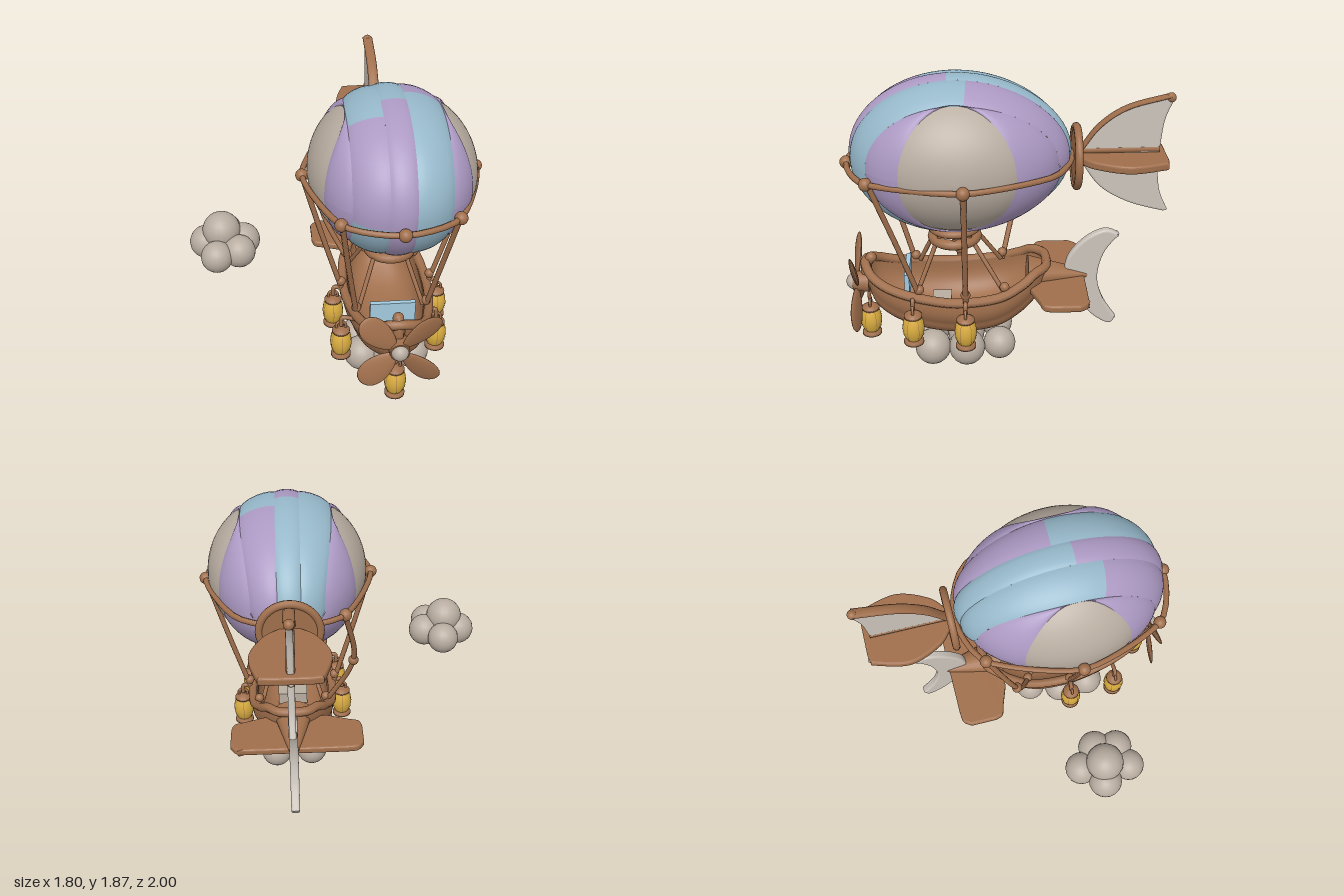
import * as THREE from 'three';

const mat = (name, color, side = THREE.FrontSide) => {
  const m = new THREE.MeshStandardMaterial({ color, side });
  m.name = name;
  return m;
};
const V = (x, y, z) => new THREE.Vector3(x, y, z);

export function createModel() {
  const wood = mat('wood brown', 0xa06f4c, THREE.DoubleSide);
  const purple = mat('canvas purple', 0xac99c3);
  const blue = mat('canvas blue', 0x96b8ca);
  const glass = mat('windshield blue', 0xa3cadf);
  const beige = mat('cloud beige', 0xb9ada1);
  const sail = mat('sail pale grey', 0xcbc4bb);
  const yellow = mat('lamp yellow', 0xdaad40);

  const model = new THREE.Group();
  const ship = new THREE.Group();
  ship.name = 'airship';
  ship.position.x = 0.333;
  ship.rotation.y = -0.036;
  model.add(ship);

  const add = (name, geo, m, pos = [0, 0, 0], parent = ship) => {
    const mesh = new THREE.Mesh(geo, m);
    mesh.name = name;
    mesh.position.set(...pos);
    parent.add(mesh);
    return mesh;
  };
  const ball = (name, r, m, pos, parent) => add(name, new THREE.SphereGeometry(r, 20, 14), m, pos, parent);
  const tube = (name, pts, r, closed = false, tension = 0.5) =>
    add(name, new THREE.TubeGeometry(new THREE.CatmullRomCurve3(pts, closed, 'catmullrom', tension), pts.length * 6, r, 8, closed), wood);
  // plate from smooth edges; side plates use [z, y] points, flat plates use [x, z]
  const plate = (name, edges, depth, m, flat = false, pos = [0, 0, 0]) => {
    const s = new THREE.Shape();
    const pts = edges.map(e => e.map(([a, b]) => new THREE.Vector2(flat ? a : -a, b)));
    s.moveTo(pts[0][0].x, pts[0][0].y);
    pts.forEach((e, i) => {
      if (i) s.lineTo(e[0].x, e[0].y);
      s.splineThru(e.slice(1));
    });
    const b = 0.014;
    const g = new THREE.ExtrudeGeometry(s, { depth: depth - 2 * b, bevelThickness: b, bevelSize: b, bevelOffset: -b, bevelSegments: 3, curveSegments: 20 });
    g.translate(0, 0, b - depth / 2);
    if (flat) g.rotateX(Math.PI / 2); else g.rotateY(Math.PI / 2);
    return add(name, g, m, pos);
  };

  // Balloon: panels between seams, measured from the +x pole, phi runs front, top, back, bottom
  const belly = (u) => () => Math.acos(u);
  const patchEdge = (phi) => Math.asin(1 / Math.hypot(Math.cos(phi) / 0.51, Math.sin(phi) / 0.83));
  const stripeEdge = (phi) => {
    const rear = Math.max(0, -Math.cos(phi)), low = Math.max(0, -Math.sin(phi));
    return Math.acos(0.57 - 0.1 * rear * rear - 0.5 * rear * low);
  };
  const seams = [() => 0, patchEdge, stripeEdge, belly(0.13), belly(-0.17),
    p => Math.PI - stripeEdge(p), p => Math.PI - patchEdge(p), () => Math.PI];
  const panel = (name, k, p0, p1, m) => {
    const n = 10, rows = Math.round((p1 - p0) / 0.09), pos = [], idx = [];
    for (let i = 0; i <= n; i++) for (let j = 0; j <= rows; j++) {
      const phi = p0 + (p1 - p0) * j / rows, s = i / n;
      const t = seams[k](phi) * (1 - s) + seams[k + 1](phi) * s;
      const swell = k === 0 ? Math.cos(s * Math.PI / 2) : Math.sin(s * Math.PI / (k === 6 ? 2 : 1));
      const puff = 0.985 + 0.02 * Math.max(0, swell) ** 0.6;
      const c = Math.sin(t) * Math.cos(phi), taper = c < 0 ? 1 - 0.08 * c * c : 1;
      pos.push(0.008 + Math.cos(t) * 0.505 * puff * taper, 1.4 + Math.sin(t) * Math.sin(phi) * 0.472 * puff * taper,
        0.295 + c * (c > 0 ? 0.625 : 0.685) * puff);
      if (i < n && j < rows) {
        const a = i * (rows + 1) + j, b = a + rows + 1;
        idx.push(a, a + 1, b, a + 1, b + 1, b);
      }
    }
    const g = new THREE.BufferGeometry();
    g.setAttribute('position', new THREE.Float32BufferAttribute(pos, 3));
    g.setIndex(idx);
    g.computeVertexNormals();
    add(name, g, m);
  };
  const P = Math.PI;
  [[0, beige], [1, purple], [5, purple], [6, beige]].forEach(([k, m]) => panel('balloonSidePanel', k, 0, 2 * P, m));
  // middle stripes change colour at the belt and at the crown
  [[1.67, blue, purple, blue], [1.5, purple, blue, purple], [1.24, purple, blue, blue]].forEach(([crown, front, rear, low], i) => {
    panel('balloonStripe', 2 + i, -0.13, crown, front);
    panel('balloonStripe', 2 + i, crown, P + 0.07, rear);
    panel('balloonStripe', 2 + i, P + 0.07, 2 * P - 0.13, low);
  });

  // Rope belt and knots
  const knots = [[0, 1.335, 0.945], [0.335, 1.34, 0.8], [0.53, 1.365, 0.25], [0.325, 1.365, -0.26],
    [0, 1.365, -0.4], [-0.335, 1.365, -0.275], [-0.53, 1.365, 0.285], [-0.34, 1.34, 0.82]];
  tube('beltRope', knots.map(k => V(...k)), 0.018, true, 0.36);
  knots.forEach((k, i) => i !== 3 && i !== 4 && ball('beltKnot', 0.039, wood, k));

  // Hull: U-shaped sections along the keel, with outer planks and an inner shell
  const stations = [[0.865, 0.05, 0.655, 0.52], [0.81, 0.14, 0.61, 0.38], [0.7, 0.195, 0.56, 0.29], [0.53, 0.24, 0.525, 0.225],
    [0.3, 0.27, 0.505, 0.195], [0.05, 0.26, 0.53, 0.23], [-0.1, 0.21, 0.59, 0.315], [-0.18, 0.16, 0.64, 0.39], [-0.25, 0.08, 0.65, 0.46]];
  const rim = new THREE.CatmullRomCurve3(stations.map(([z, w, y]) => V(w, y, z)));
  const keel = new THREE.CatmullRomCurve3(stations.map(([z, , , y]) => V(0, y, z)));
  const shell = (name, wide, deep, ridge) => {
    const nu = 40, nv = 48, pos = [], idx = [];
    for (let i = 0; i <= nu; i++) for (let j = 0; j <= nv; j++) {
      const r = rim.getPoint(i / nu), k = keel.getPoint(i / nu), a = P * j / nv;
      const c = Math.cos(a), bump = 1 + ridge * Math.abs(Math.sin(6 * a));
      pos.push(Math.sign(c) * Math.abs(c) ** 0.75 * r.x * wide * bump,
        r.y - (r.y - k.y) * deep * Math.abs(Math.sin(a)) ** 0.85, r.z);
      if (i < nu && j < nv) {
        const p = i * (nv + 1) + j, q = p + nv + 1;
        idx.push(p, p + 1, q, p + 1, q + 1, q);
      }
    }
    const g = new THREE.BufferGeometry();
    g.setAttribute('position', new THREE.Float32BufferAttribute(pos, 3));
    g.setIndex(idx);
    g.computeVertexNormals();
    add(name, g, wood);
  };
  shell('hull', 1, 1, 0.04);
  shell('hullInside', 0.88, 0.72, 0);
  tube('hullRim', [...rim.points, ...rim.points.slice().reverse().map(p => V(-p.x, p.y, p.z))], 0.03, true);
  tube('bowPost', [V(0, 0.42, 0.8), V(0, 0.55, 0.865), V(0, 0.64, 0.865), V(0, 0.685, 0.835)], 0.034);
  ball('bowPostEnd', 0.034, wood, [0, 0.685, 0.835]);
  const boom = new THREE.CylinderGeometry(0.03, 0.13, 0.38, 24).rotateX(-P / 2).scale(1, 0.72, 1);
  add('tailBoom', boom, wood, [0, 0.555, -0.33]).rotation.x = -0.06;

  // Gondola wings and crescent rudder
  plate('gondolaWings', [[[-0.3, -0.5], [0.3, -0.5], [0.38, -0.49], [0.42, -0.44]], [[0.42, -0.27], [0.4, -0.22], [0.34, -0.2]],
    [[0.2, -0.15], [-0.2, -0.15]], [[-0.34, -0.2], [-0.4, -0.22], [-0.42, -0.27]], [[-0.42, -0.44], [-0.38, -0.49], [-0.3, -0.5]]],
  0.045, wood, true, [-0.023, 0.525, 0]);
  plate('rudder', [[[-0.37, 0.55], [-0.4, 0.68], [-0.5, 0.8], [-0.62, 0.86], [-0.71, 0.83]],
    [[-0.71, 0.83], [-0.62, 0.7], [-0.585, 0.53], [-0.625, 0.37], [-0.715, 0.225]],
    [[-0.715, 0.225], [-0.67, 0.182], [-0.56, 0.25], [-0.45, 0.39], [-0.37, 0.55]]], 0.055, sail);

  // Balloon tail: round mount, vertical sails and flat fin
  add('tailDisc', new THREE.CylinderGeometry(0.18, 0.18, 0.03, 32).rotateX(P / 2), wood, [0, 1.353, -0.425]);
  add('tailRing', new THREE.TorusGeometry(0.18, 0.024, 10, 36), wood, [0, 1.353, -0.425]);
  const lead = [[-0.45, 1.4], [-0.56, 1.55], [-0.72, 1.66], [-0.97, 1.73]];
  plate('upperSail', [lead, [[-0.99, 1.715], [-0.94, 1.58], [-0.92, 1.37]], [[-0.45, 1.37], [-0.45, 1.4]]], 0.04, sail);
  plate('lowerSail', [[[-0.45, 1.33], [-0.57, 1.16], [-0.75, 1.05], [-0.97, 0.985]],
    [[-0.995, 0.995], [-0.935, 1.14], [-0.91, 1.36]], [[-0.45, 1.36], [-0.45, 1.33]]], 0.04, sail);
  tube('sailSpar', lead.map(([z, y]) => V(0, y, z)), 0.012).geometry.scale(2.8, 1, 1);
  ball('sparTip', 0.03, wood, [0, 1.717, -0.968]);
  plate('tailFin', [[[0.06, -0.43], [0.16, -0.52], [0.235, -0.72], [0.18, -0.95]], [[0.12, -0.96], [-0.12, -0.96]],
    [[-0.18, -0.95], [-0.235, -0.72], [-0.16, -0.52], [-0.06, -0.43]]], 0.05, wood, true, [0, 1.355, 0]);
  [1.395, 1.315].forEach(y => tube('finSpar', [V(0, y, -0.43), V(0, y + 0.005, -0.92)], 0.026));

  // Propeller
  const propeller = new THREE.Group();
  propeller.name = 'propeller';
  propeller.position.set(0, 0.515, 0.93);
  ship.add(propeller);
  for (let i = 0; i < 4; i++) {
    const arm = new THREE.Group();
    arm.rotation.z = P / 4 + i * P / 2;
    propeller.add(arm);
    const g = new THREE.SphereGeometry(1, 24, 16);
    const p = g.attributes.position;
    for (let v = 0; v < p.count; v++) {
      const x = p.getX(v);
      p.setXYZ(v, 0.18 + x * 0.145, p.getY(v) * 0.079 * (1 + 0.25 * x), p.getZ(v) * 0.018);
    }
    g.computeVertexNormals();
    add('blade', g, wood, [0, 0, 0], arm).rotation.x = 0.3;
  }
  add('shaft', new THREE.CylinderGeometry(0.06, 0.07, 0.1, 20).rotateX(P / 2), wood, [0, 0, -0.025], propeller);
  ball('noseCap', 0.053, beige, [0, 0, 0.017], propeller);

  // Lanterns
  const barrel = [[0.045, -0.08], [0.062, -0.045], [0.068, 0], [0.062, 0.045], [0.045, 0.08]];
  const lathe = (pts, d = 0, ...arc) => new THREE.LatheGeometry(pts.map(([r, y]) => new THREE.Vector2(r + d, y)), ...(arc.length ? arc : [24]));
  const lantern = (x, y, z) => {
    const l = new THREE.Group();
    l.name = 'lantern';
    l.position.set(x, y, z);
    ship.add(l);
    add('glass', lathe(barrel), yellow, [0, 0, 0], l);
    for (let i = 0; i < 6; i++) add('bar', lathe(barrel, 0.003, 1, i * P / 3, 0.05), wood, [0, 0, 0], l);
    add('cap', lathe([[0, 0.075], [0.055, 0.075], [0.055, 0.09], [0.03, 0.108], [0, 0.11]]), wood, [0, 0, 0], l);
    add('base', lathe([[0, -0.108], [0.062, -0.108], [0.062, -0.092], [0.048, -0.078], [0, -0.078]]), wood, [0, 0, 0], l);
    add('handle', new THREE.TorusGeometry(0.03, 0.009, 8, 18), wood, [0, 0.12, 0], l);
  };
  lantern(-0.008, 0.23, 0.86);
  tube('bowHook', [V(-0.008, 0.36, 0.86), V(0, 0.42, 0.862), V(0, 0.48, 0.84)], 0.012);

  // Rigging on both sides; the rear rope is on the right only
  for (const s of [-1, 1]) {
    const skew = -0.02 * s;
    [[s < 0 ? 0.318 : 0.285, 0.59, 0.22], [0.342, 0.27, 0.265]].forEach(([x, z, w]) => {
      lantern(s * x, 0.35, z + skew);
      tube('lanternHook', [V(s * w, 0.51, z + skew), V(s * (x - 0.01), 0.53, z + skew), V(s * x, 0.47, z + skew)], 0.014);
    });
    [[0.335, 1.34, 0.81, 0.22, 0.55], [0.53, 1.365, 0.268, 0.29, 0.268]].forEach(([x, y, z, x2, z2]) => {
      tube('rope', [V(s * x, y, z + skew), V(s * ((x + x2) / 2 + 0.005), 0.95, (z + z2) / 2 + skew), V(s * x2, 0.53, z2 + skew)], 0.017);
      ball('rimKnot', 0.03, wood, [s * x2, 0.575, z2 + skew]);
    });
    ball('rimKnot', 0.03, wood, [s * 0.22, 0.585, 0.01]);
    [0.54, 0.02].forEach(z => tube('burnerStrut', [V(s * 0.1, 0.84, z > 0.3 ? 0.42 : 0.2), V(s * 0.2, 0.55, z)], 0.014));
  }
  tube('rearRope', [V(-0.335, 1.365, -0.275), V(-0.395, 0.935, -0.105), V(-0.22, 0.54, 0.01)], 0.017);
  ball('ropeKnot', 0.033, wood, [-0.395, 0.935, -0.105]);

  // Burner under the balloon
  add('burnerTopRing', new THREE.TorusGeometry(0.14, 0.026, 10, 32).rotateX(P / 2), wood, [0.012, 0.913, 0.31]);
  add('burnerLowerRing', new THREE.TorusGeometry(0.134, 0.033, 10, 32).rotateX(P / 2), wood, [0.012, 0.84, 0.31]);
  for (let i = 0; i < 8; i++) {
    const a = i * P / 4;
    add('burnerPost', new THREE.CylinderGeometry(0.013, 0.013, 0.09, 8), wood, [0.012 + Math.cos(a) * 0.13, 0.877, 0.31 + Math.sin(a) * 0.13]);
  }

  // Cockpit
  add('windshield', new THREE.BoxGeometry(0.28, 0.17, 0.03), glass, [0, 0.545, 0.61]);
  add('seat', new THREE.BoxGeometry(0.2, 0.08, 0.12), beige, [0, 0.34, 0.4]);

  // Clouds
  const cloud = (name, puffs, parent) => {
    const c = new THREE.Group();
    c.name = name;
    parent.add(c);
    puffs.forEach(([x, y, z, r]) => ball('puff', r, beige, [x, y, z], c));
  };
  cloud('hullCloud', [[-0.17, 0.118, 0.46, 0.112], [0, 0.118, 0.48, 0.115], [0.155, 0.118, 0.46, 0.113], [-0.175, 0.114, 0.26, 0.11],
    [0, 0.12, 0.25, 0.118], [0.165, 0.117, 0.245, 0.114], [-0.12, 0.115, 0.05, 0.102], [0.12, 0.115, 0.038, 0.102]], ship);
  cloud('floatingCloud', [[-0.705, 1.01, 0.26, 0.116], [-0.8, 0.92, 0.24, 0.103], [-0.575, 0.92, 0.24, 0.103], [-0.68, 0.92, 0.12, 0.1],
    [-0.605, 0.92, 0.37, 0.1], [-0.74, 0.915, 0.41, 0.097], [-0.7, 0.885, 0.27, 0.097]], model);
  return model;
}
